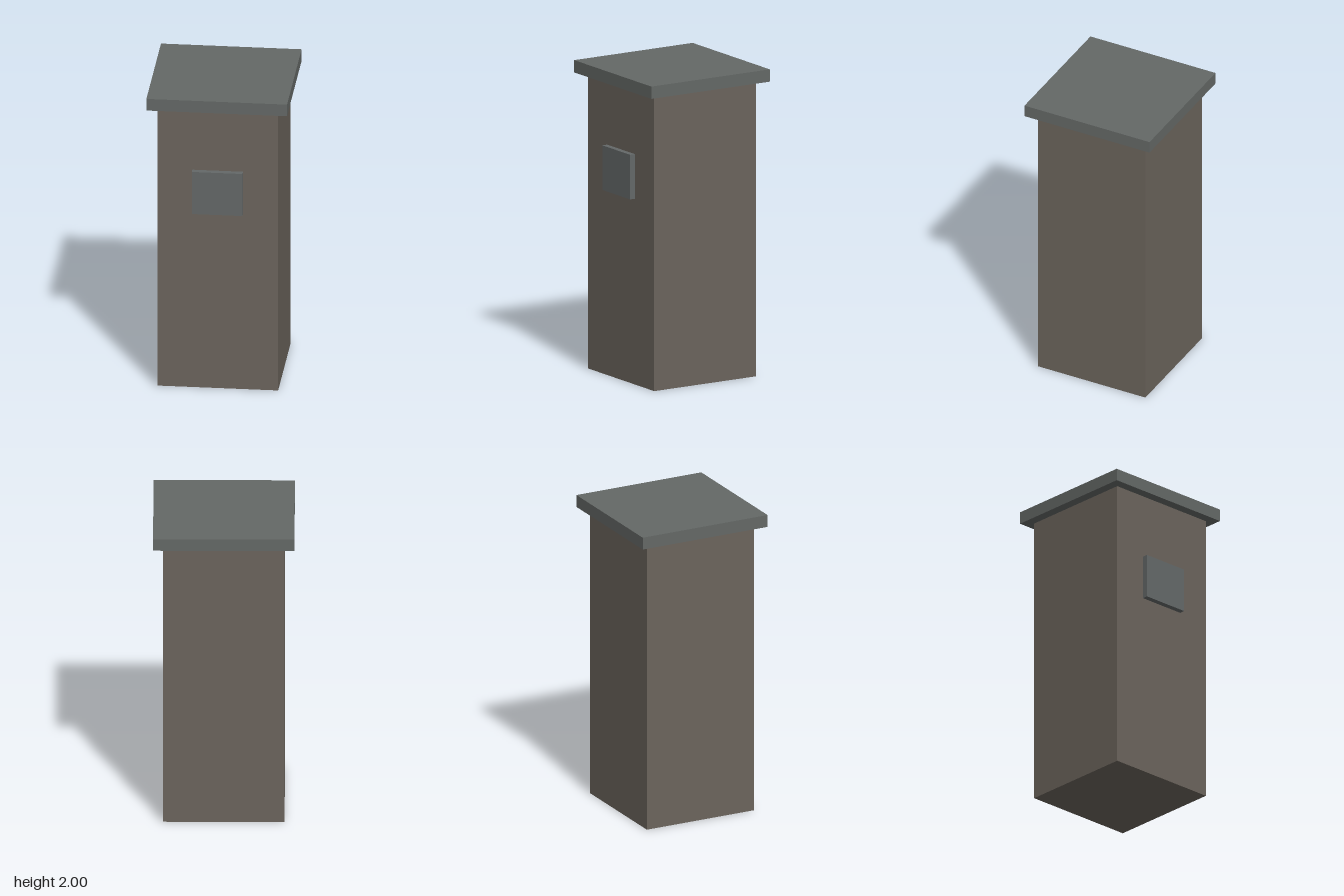
import * as THREE from 'three';

// Box placed by its bottom y and its centre z
function addBox(group, name, color, [w, h, d], bottom, z = 0) {
  const mesh = new THREE.Mesh(
    new THREE.BoxGeometry(w, h, d),
    new THREE.MeshStandardMaterial({ color })
  );
  mesh.name = name;
  mesh.position.set(0, bottom + h / 2, z);
  group.add(mesh);
}

export function createModel() {
  const group = new THREE.Group();
  group.name = 'pillar';

  const stone = 0x6b645c;
  const slate = 0x646866;

  // Square shaft
  addBox(group, 'shaft', stone, [0.77, 1.92, 0.77], 0);
  // Overhanging cap slab
  addBox(group, 'cap', slate, [0.896, 0.08, 0.896], 1.92);
  // Plate on the front face, set slightly into the shaft
  addBox(group, 'frontPlate', 0x646868, [0.323, 0.29, 0.058], 1.208, 0.393);

  return group;
}
